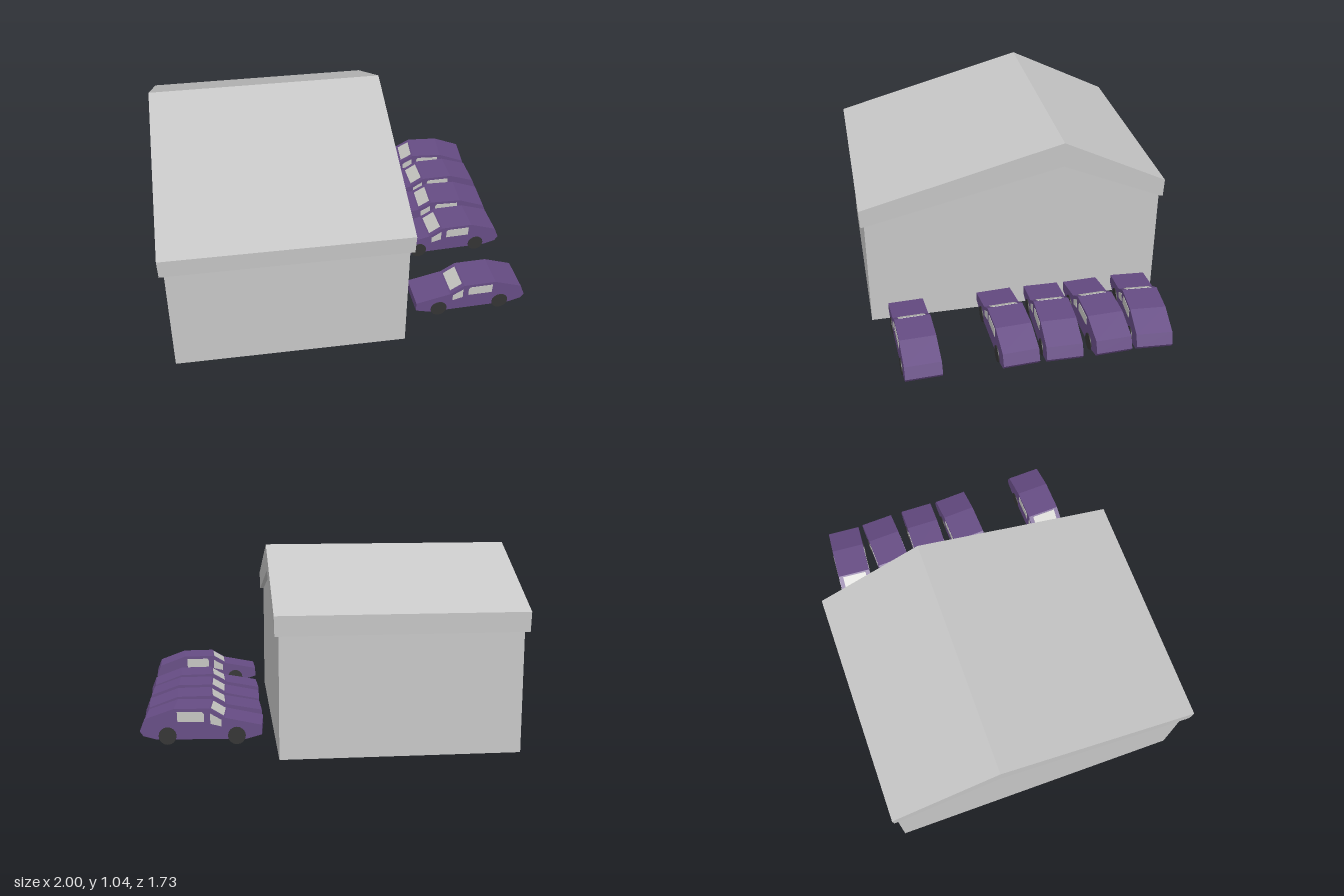
import * as THREE from 'three';

const mat = (name, color) => Object.assign(new THREE.MeshStandardMaterial({ color }), { name });

const shapeOf = pts => new THREE.Shape(pts.map(p => new THREE.Vector2(p[0], p[1])));

// Extrudes a profile along z without bevels
const slab = (pts, depth) =>
  new THREE.ExtrudeGeometry(shapeOf(pts), { depth, bevelEnabled: false });

// Extrudes a [z, y] profile along x, from x0 to x1
function alongX(pts, x0, x1) {
  const g = slab(pts.map(([z, y]) => [-z, y]), x1 - x0);
  g.rotateY(Math.PI / 2);
  g.translate(x0, 0, 0);
  return g;
}

function add(parent, name, geometry, material) {
  const mesh = new THREE.Mesh(geometry, material);
  mesh.name = name;
  parent.add(mesh);
  return mesh;
}

function buildHouse(grey) {
  const house = new THREE.Group();
  house.name = 'house';

  // Walls with an off-centre gable
  const soffit = [[0.84, 0.645], [-0.265, 0.9], [-0.84, 0.645]];
  add(house, 'walls', alongX([[0.84, 0], ...soffit, [-0.84, 0]], -0.965, 0.295), grey);

  // Thick roof whose gable ends lean slightly inwards towards the bottom
  const roof = alongX([
    [0.86, 0.643], ...soffit, [-0.857, 0.643],
    [-0.86, 0.747], [-0.265, 1.045], [0.865, 0.747],
  ], -1, 0.327);
  const p = roof.attributes.position;
  for (let i = 0; i < p.count; i++) {
    const inset = (1.045 - p.getY(i)) * 0.027;
    p.setX(i, p.getX(i) + (p.getX(i) < -0.3 ? inset : -inset));
  }
  roof.computeVertexNormals();
  add(house, 'roof', roof, grey);
  return house;
}

function buildCar(paint, glass, rubber) {
  const car = new THREE.Group();
  const middle = 0.685, half = 0.098;

  // Wedge-shaped body, nose towards the house
  const body = slab([
    [0.37, 0.113], [0.45, 0.09], [0.91, 0.09], [0.978, 0.108], [0.997, 0.134],
    [0.972, 0.198], [0.82, 0.252], [0.64, 0.252], [0.56, 0.203], [0.37, 0.164],
  ], half * 2);
  add(car, 'body', body.translate(-middle, 0, -half), paint);

  // Side windows on both flanks
  const windows = {
    quarterWindow: [[0.577, 0.157], [0.635, 0.172], [0.635, 0.226], [0.577, 0.192]],
    doorWindow: [[0.667, 0.182], [0.803, 0.182], [0.805, 0.235], [0.677, 0.235], [0.667, 0.222]],
  };
  for (const [name, pts] of Object.entries(windows)) {
    for (const side of [-1, 1]) {
      const pane = slab(pts, 0.004).translate(-middle, 0, side * half - 0.002);
      add(car, name, pane, glass);
    }
  }

  // Windscreen lying on the slope
  const screen = add(car, 'windscreen', new THREE.BoxGeometry(0.076, 0.004, 0.144), glass);
  screen.position.set(0.6 - middle, 0.2275, 0);
  screen.rotation.z = Math.atan2(0.049, 0.08);

  // Wheels
  for (const x of [0.5, 0.855]) {
    for (const side of [-1, 1]) {
      const wheel = new THREE.CylinderGeometry(0.046, 0.046, 0.046, 16).rotateX(Math.PI / 2);
      add(car, 'wheel', wheel, rubber).position.set(x - middle, 0.109, side * (half - 0.018));
    }
  }
  return car;
}

export function createModel() {
  const model = new THREE.Group();
  model.name = 'houseWithParkedCars';
  const grey = mat('wall grey', 0xc6c6c6);
  const paint = mat('purple paint', 0x664c84);
  const glass = mat('window grey', 0xc4c4c0);
  const rubber = mat('tyre black', 0x333333);

  model.add(buildHouse(grey));

  // Row of cars, each [z, turn]
  const spots = [[0.636, 0.036], [0.128, 0.05], [-0.127, -0.022], [-0.379, 0.036], [-0.635, -0.072]];
  for (const [z, turn] of spots) {
    const car = buildCar(paint, glass, rubber);
    car.name = 'car';
    car.position.set(0.685, 0, z);
    car.rotation.y = turn;
    model.add(car);
  }
  return model;
}
